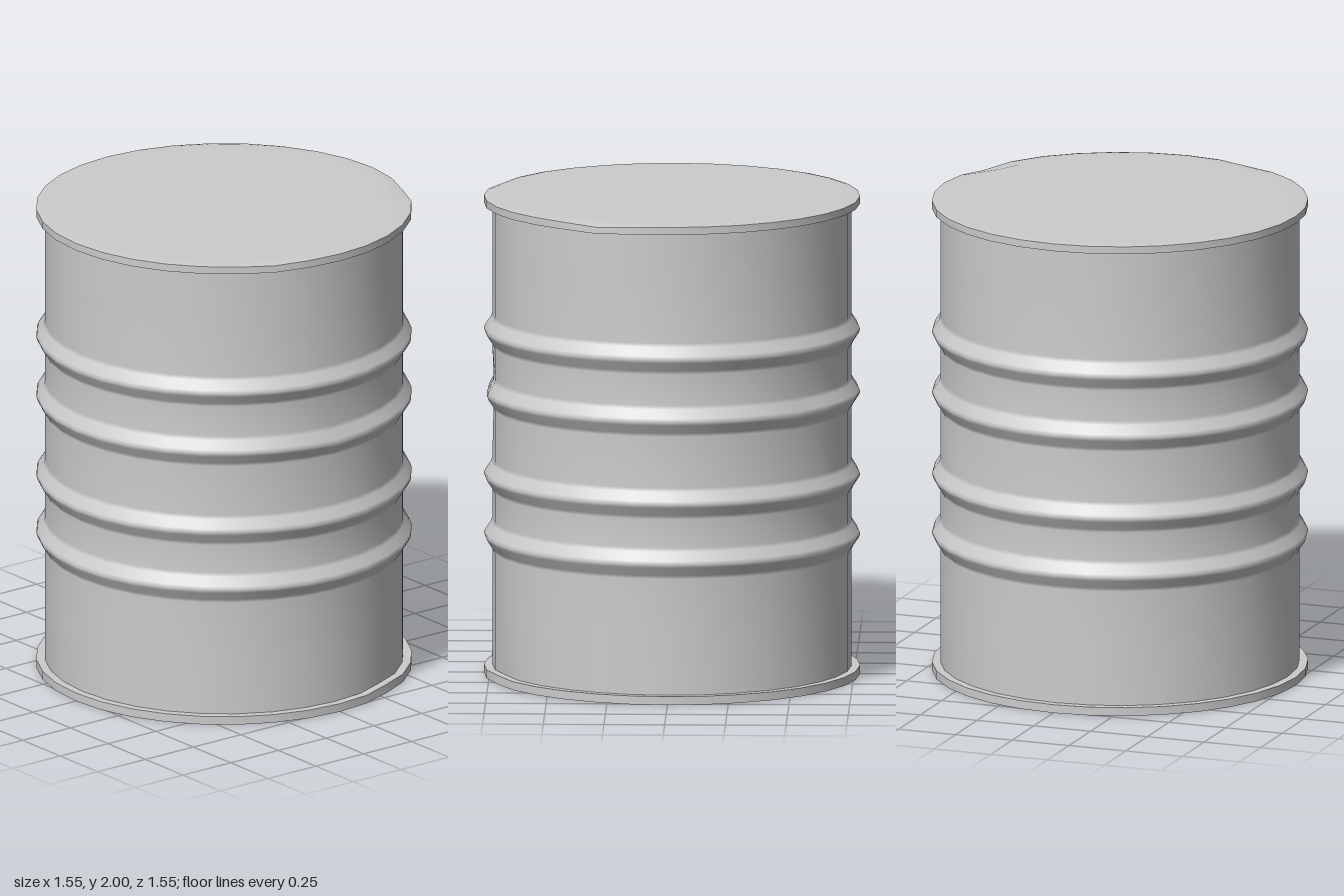
import * as THREE from 'three';
import { mergeVertices } from 'three/addons/utils/BufferGeometryUtils.js';

const SEGMENTS = 32;
const BODY_R = 0.74, RIM_R = 0.775, RIM_H = 0.035;

// Shallow knocks: angle from the front (+z) towards +x, height, spread, depth inwards, drop
const DENTS = [
  { angle: 0.0, y: 1.18, width: 0.16, height: 0.07, depth: 0.012, drop: 0.012 },
  { angle: -0.5, y: 0.82, width: 0.15, height: 0.06, depth: 0.008, drop: 0 },
  { angle: 2.4, y: 1.15, width: 0.14, height: 0.08, depth: 0.016, drop: 0.01 },
  { angle: 0.37, y: 0.04, width: 0.1, height: 0.06, depth: 0.012, drop: 0 },
  { angle: 1.18, y: 2.0, width: 0.16, height: 0.05, depth: 0.006, drop: 0.012 },
  { angle: -0.4, y: 2.0, width: 0.16, height: 0.05, depth: 0.004, drop: 0.006 },
];

function dent(geometry) {
  const pos = geometry.attributes.position;
  for (let i = 0; i < pos.count; i++) {
    let x = pos.getX(i), y = pos.getY(i), z = pos.getZ(i);
    const r = Math.hypot(x, z);
    if (r < 0.7) continue;
    const a = Math.atan2(x, z);
    let inward = 0, drop = 0;
    for (const d of DENTS) {
      const da = Math.atan2(Math.sin(a - d.angle), Math.cos(a - d.angle)) / d.width;
      const dy = (y - d.y) / d.height;
      const k = Math.exp(-da * da - dy * dy);
      inward += d.depth * k;
      drop += d.drop * k;
    }
    const s = (r - inward) / r;
    pos.setXYZ(i, x * s, y - drop, z * s);
  }
}

// Turned part with smooth normals; sharp edges come from separate parts
function turned(name, profile, material) {
  const lathe = new THREE.LatheGeometry(profile.map(([r, y]) => new THREE.Vector2(r, y)), SEGMENTS);
  lathe.deleteAttribute('normal');
  lathe.deleteAttribute('uv');
  const geometry = mergeVertices(lathe, 1e-5);
  dent(geometry);
  geometry.computeVertexNormals();
  const mesh = new THREE.Mesh(geometry, material);
  mesh.name = name;
  return mesh;
}

export function createModel() {
  const group = new THREE.Group();
  group.name = 'drum';
  const steel = new THREE.MeshStandardMaterial({ color: 0xcccccc });
  steel.name = 'grey steel';

  // Shell with four rolled ribs
  const shell = [[BODY_R, 0.02], [BODY_R, 0.3]];
  for (const y of [0.585, 0.835, 1.18, 1.44]) {
    shell.push([BODY_R, y - 0.065], [0.746, y - 0.05], [0.77, y - 0.014],
      [RIM_R, y], [0.77, y + 0.014], [0.746, y + 0.05], [BODY_R, y + 0.065]);
  }
  shell.push([BODY_R, 1.75], [BODY_R, 1.98]);
  group.add(turned('shell', shell, steel));

  // Rim bands, flanges and end plates
  group.add(turned('bottomRim', [[RIM_R, 0], [RIM_R, RIM_H]], steel));
  group.add(turned('bottomFlange', [[RIM_R, RIM_H], [BODY_R - 0.02, RIM_H]], steel));
  group.add(turned('bottomPlate', [[0, 0], [0.72, 0], [RIM_R, 0]], steel));
  group.add(turned('topRim', [[RIM_R, 2 - RIM_H], [RIM_R, 1.996]], steel));
  group.add(turned('topFlange', [[BODY_R - 0.02, 2 - RIM_H], [RIM_R, 2 - RIM_H]], steel));
  group.add(turned('lid', [[RIM_R, 1.996], [0.755, 2], [0.69, 2], [0, 2]], steel));
  return group;
}
